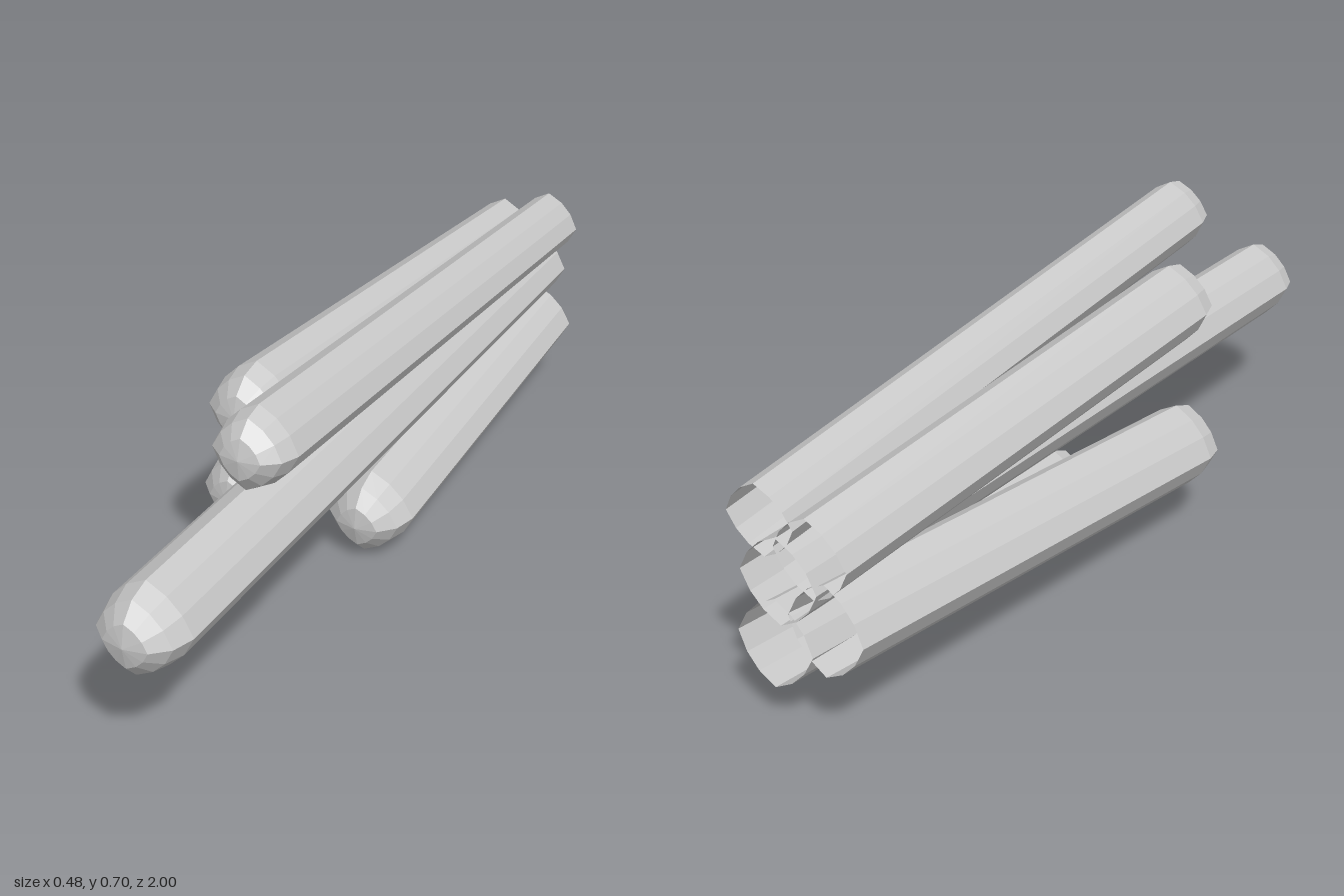
import * as THREE from 'three';

// Each rod: back centre, back radius, tip centre, tip radius
const RODS = [
  { name: 'upperLeftRod', back: [0.115, 0.468, -0.995], rBack: 0.085, tip: [0.149, 0.617, 0.68], rTip: 0.093 },
  { name: 'upperRightRod', back: [-0.01, 0.418, -0.995], rBack: 0.095, tip: [-0.036, 0.516, 0.388], rTip: 0.104 },
  { name: 'middleRod', back: [0.073, 0.345, -1], rBack: 0.1, tip: [0.073, 0.345, 1], rTip: 0.105 },
  { name: 'lowerRightRod', back: [-0.037, 0.265, -0.993], rBack: 0.104, tip: [-0.14, 0.207, 0.262], rTip: 0.106 },
  { name: 'lowerLeftRod', back: [0.1, 0.19, -0.993], rBack: 0.1, tip: [0.094, 0.098, 0.072], rTip: 0.106 },
];

// Open-backed rod along +z with a blunt domed tip and a soft diamond section
function rodGeometry(length, rBack, rTip) {
  const profile = [
    [rBack, 0],
    [rTip, length - 0.9 * rTip],
    [rTip * 0.85, length - 0.42 * rTip],
    [rTip * 0.5, length - 0.1 * rTip],
    [0, length],
  ].map(([r, y]) => new THREE.Vector2(r, y));
  const lathe = new THREE.LatheGeometry(profile, 12);
  const pos = lathe.attributes.position;
  for (let i = 0; i < pos.count; i++) {
    const x = pos.getX(i), z = pos.getZ(i);
    // pull in every side edge except the four corners
    const step = Math.round(Math.atan2(x, z) / (Math.PI / 6));
    const k = step % 3 === 0 ? 1 : 0.885;
    pos.setX(i, x * k);
    pos.setZ(i, z * k);
  }
  const geo = lathe.toNonIndexed();
  geo.rotateX(Math.PI / 2);
  geo.computeVertexNormals();
  return geo;
}

export function createModel() {
  const group = new THREE.Group();
  group.name = 'rodCluster';
  const grey = new THREE.MeshStandardMaterial({ color: 0xc8c8c8, flatShading: true, side: THREE.DoubleSide });
  grey.name = 'grey';

  for (const { name, back, rBack, tip, rTip } of RODS) {
    const start = new THREE.Vector3(...back);
    const axis = new THREE.Vector3(...tip).sub(start);
    const rod = new THREE.Mesh(rodGeometry(axis.length(), rBack, rTip), grey);
    rod.name = name;
    rod.position.copy(start);
    rod.quaternion.setFromUnitVectors(new THREE.Vector3(0, 0, 1), axis.normalize());
    group.add(rod);
  }
  return group;
}
